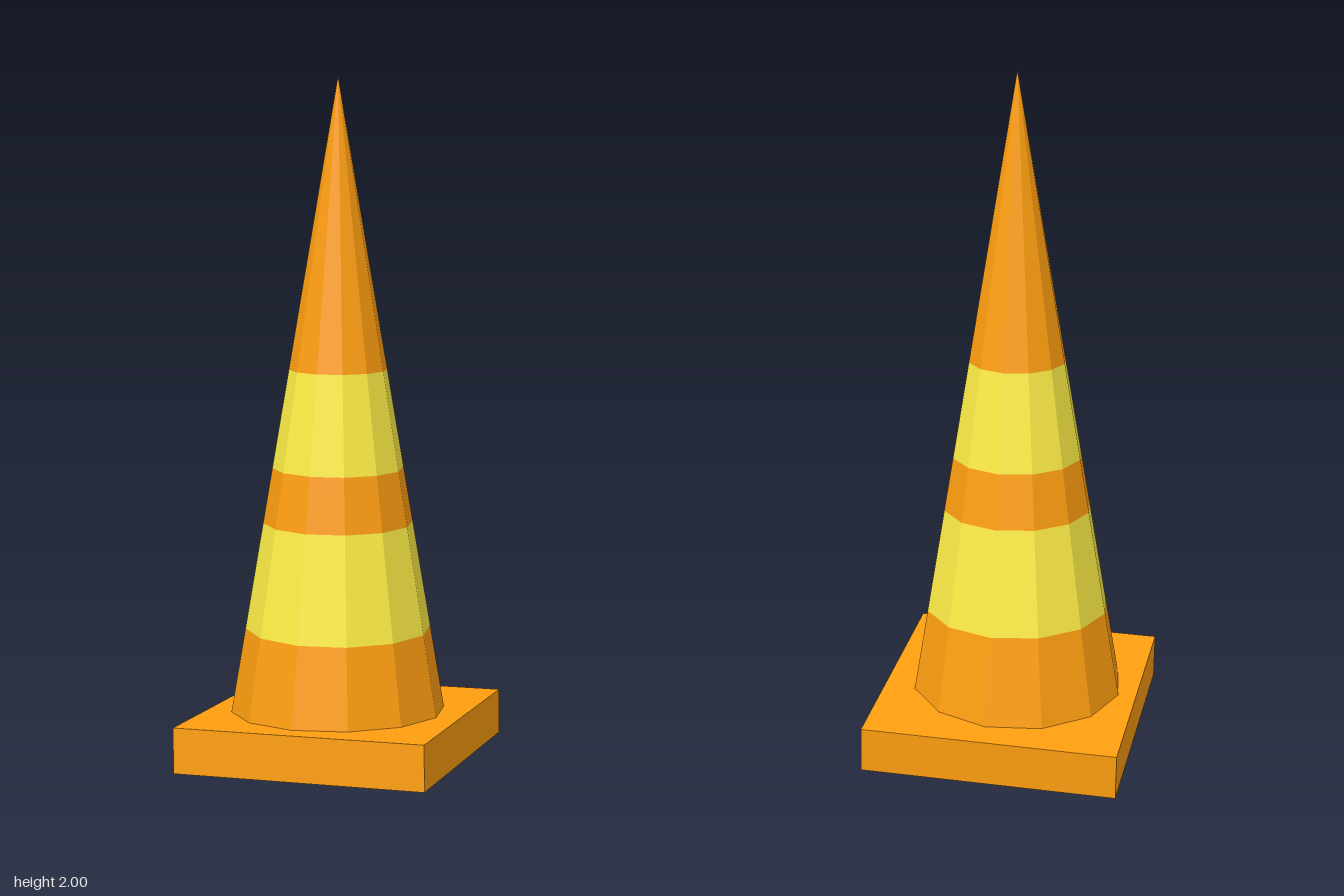
import * as THREE from 'three';

export function createModel() {
  const model = new THREE.Group();
  const material = (color) => new THREE.MeshStandardMaterial({ color, flatShading: true });
  const orange = material(0xff9f10);
  const yellow = material(0xfeee46);

  // Square foot, turned and resting slightly tilted
  const foot = new THREE.Mesh(new THREE.BoxGeometry(0.743, 0.132, 0.783), orange);
  foot.name = 'foot';
  foot.position.set(0, 0.096, 0);
  foot.rotation.set(-0.05, -0.418, 0.004, 'XZY');
  model.add(foot);

  // Upright twelve-sided cone, stacked from coloured bands
  const cone = new THREE.Group();
  cone.name = 'cone';
  cone.position.set(-0.012, 0, 0.008);
  model.add(cone);

  const apex = 2, slope = 0.17;
  const radiusAt = (y) => (apex - y) * slope;
  const bands = [
    ['lowerBody', 0.12, 0.41, orange],
    ['lowerStripe', 0.41, 0.72, yellow],
    ['middleBody', 0.72, 0.88, orange],
    ['upperStripe', 0.88, 1.165, yellow],
    ['tip', 1.165, apex, orange],
  ];
  for (const [name, y0, y1, mat] of bands) {
    const geometry = new THREE.CylinderGeometry(radiusAt(y1), radiusAt(y0), y1 - y0, 12, 1, true);
    const band = new THREE.Mesh(geometry, mat);
    band.name = name;
    band.position.y = (y0 + y1) / 2;
    cone.add(band);
  }

  return model;
}
